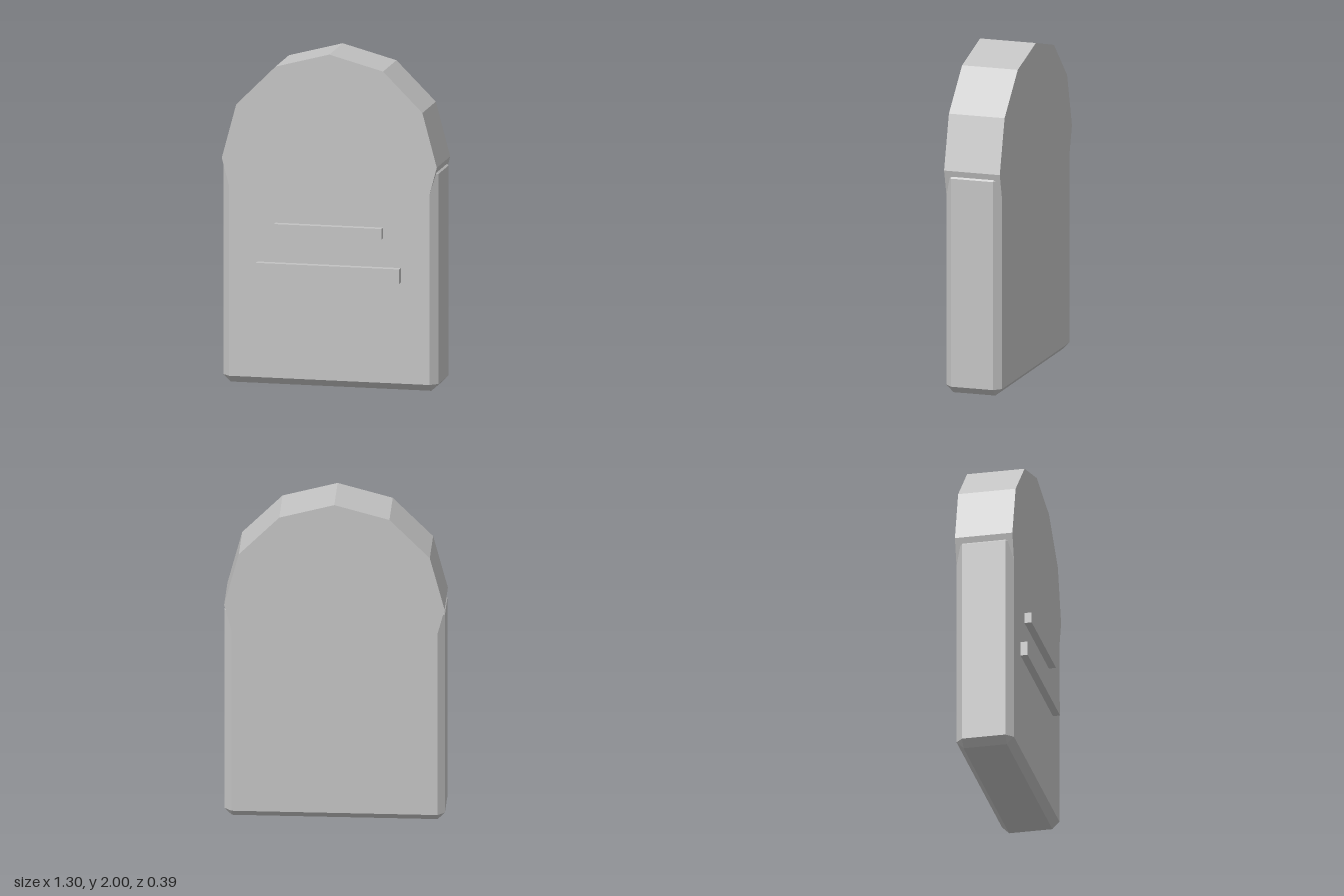
import * as THREE from 'three';
import { ConvexGeometry } from 'three/addons/geometries/ConvexGeometry.js';

// Box with every edge and corner cut off flat
function chamferedBox(w, h, d, c) {
  const points = [];
  for (const sx of [-1, 1]) for (const sy of [-1, 1]) for (const sz of [-1, 1]) {
    const x = w / 2, y = h / 2, z = d / 2;
    points.push(
      new THREE.Vector3(sx * x, sy * (y - c), sz * (z - c)),
      new THREE.Vector3(sx * (x - c), sy * y, sz * (z - c)),
      new THREE.Vector3(sx * (x - c), sy * (y - c), sz * z)
    );
  }
  return new ConvexGeometry(points);
}

export function createModel() {
  const group = new THREE.Group();
  const stone = new THREE.MeshStandardMaterial({ color: 0xc3c3c3, flatShading: true });
  stone.name = 'pale grey stone';

  const radius = 0.65, depth = 0.347, slabZ = -0.0215, slabHeight = 1.347;

  function add(name, geometry, x, y, z) {
    const mesh = new THREE.Mesh(geometry, stone);
    mesh.name = name;
    mesh.position.set(x, y, z);
    group.add(mesh);
  }

  // Upright slab with chamfered edges
  add('slab', chamferedBox(radius * 2, slabHeight, depth, 0.043), 0, slabHeight / 2, slabZ);

  // Twelve-sided rounded head
  const head = new THREE.CylinderGeometry(radius, radius, depth, 12);
  head.rotateX(Math.PI / 2);
  add('archedHead', head, 0, 1.35, slabZ);

  // Raised bars on the front, starting just inside the slab
  const bars = [['upperBar', 0.65, 0.065, 0.943], ['lowerBar', 0.866, 0.087, 0.694]];
  for (const [name, width, height, y] of bars) {
    add(name, new THREE.BoxGeometry(width, height, 0.063), 0, y, 0.1635);
  }

  return group;
}
